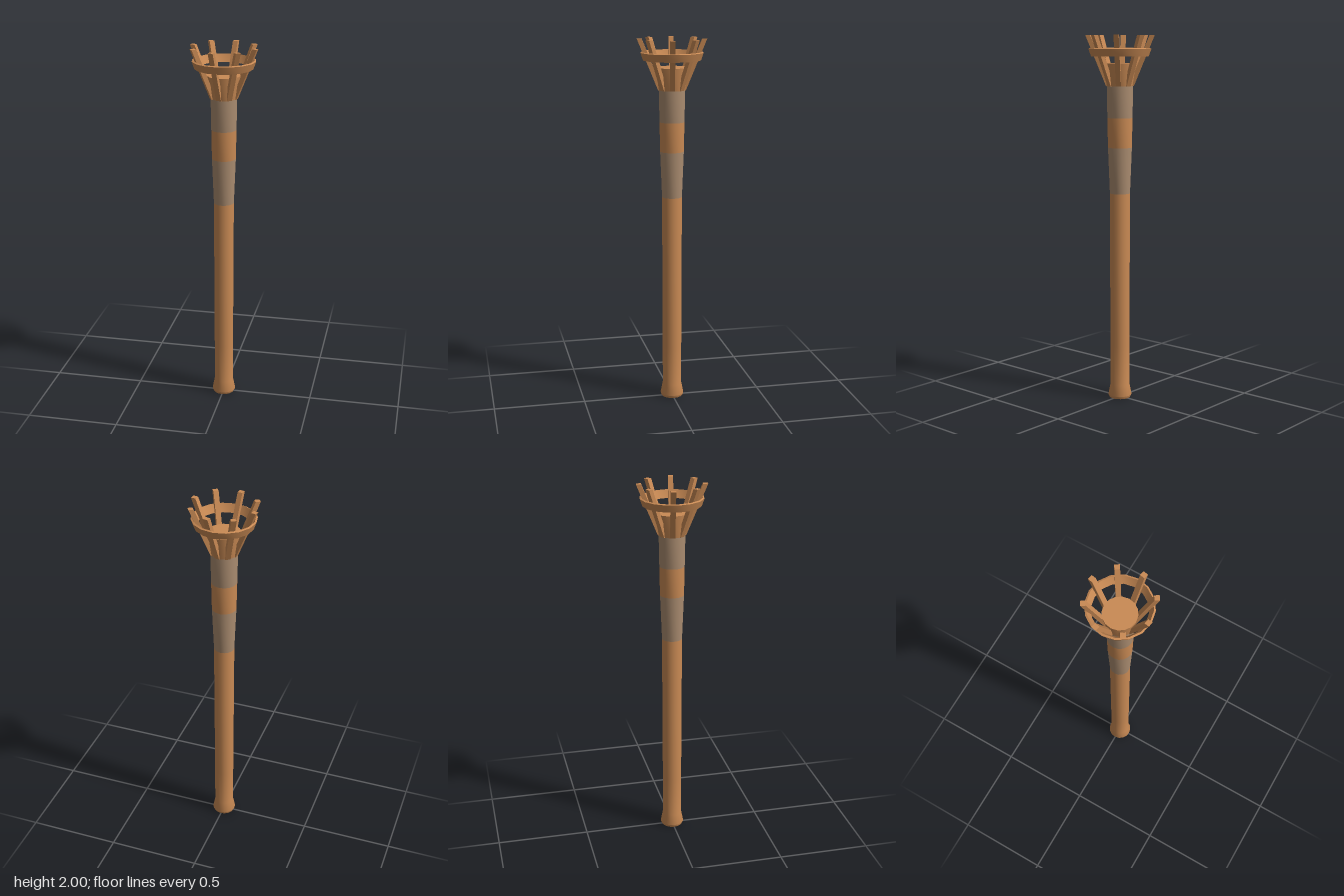
import * as THREE from 'three';
import { toCreasedNormals } from 'three/addons/utils/BufferGeometryUtils.js';

const SIDES = 16;

export function createModel() {
  const torch = new THREE.Group();
  torch.name = 'torch';
  const wood = new THREE.MeshStandardMaterial({ name: 'warm wood', color: 0xc98a54 });
  const wrap = new THREE.MeshStandardMaterial({ name: 'greyish wrap', color: 0xaa8c70 });

  // Turned part from [radius, height] pairs
  function turned(name, points, material, parent = torch) {
    const profile = points.map(([r, y]) => new THREE.Vector2(r, y));
    const geometry = toCreasedNormals(new THREE.LatheGeometry(profile, SIDES), 0.7);
    const mesh = new THREE.Mesh(geometry, material);
    mesh.name = name;
    parent.add(mesh);
    return mesh;
  }

  // Handle with flared foot, two wrapped bands and the solid core of the basket
  turned('handle', [[0, 0], [0.058, 0], [0.065, 0.015], [0.053, 0.075], [0.053, 0.3], [0.055, 1.15]], wood);
  turned('lowerWrap', [[0.055, 1.15], [0.065, 1.4]], wrap);
  turned('neck', [[0.065, 1.4], [0.068, 1.56]], wood);
  turned('upperWrap', [[0.068, 1.56], [0.071, 1.73]], wrap);
  turned('basketCore', [[0.071, 1.73], [0.088, 1.85], [0, 1.85]], wood);

  // Flared hoop around the slats
  turned('hoop', [[0.137, 1.89], [0.155, 1.888], [0.169, 1.928], [0.16, 1.932], [0.137, 1.89]], wood);

  // Slats leaning outwards, with level ends
  const bottom = 1.73, height = 0.27, lean = 0.111;
  const slatGeometry = new THREE.BoxGeometry(0.026, height, 0.027);
  slatGeometry.translate(0, height / 2, 0);
  const p = slatGeometry.attributes.position;
  for (let i = 0; i < p.count; i++) {
    p.setX(i, p.getX(i) + 0.061 + lean * p.getY(i) / height);
  }
  slatGeometry.computeVertexNormals();
  const slats = new THREE.Group();
  slats.name = 'slats';
  for (let i = 0; i < 8; i++) {
    const slat = new THREE.Mesh(slatGeometry, wood);
    slat.name = 'slat';
    slat.position.y = bottom;
    slat.rotation.y = THREE.MathUtils.degToRad(-10.5 + i * 45);
    slats.add(slat);
  }
  torch.add(slats);
  return torch;
}
